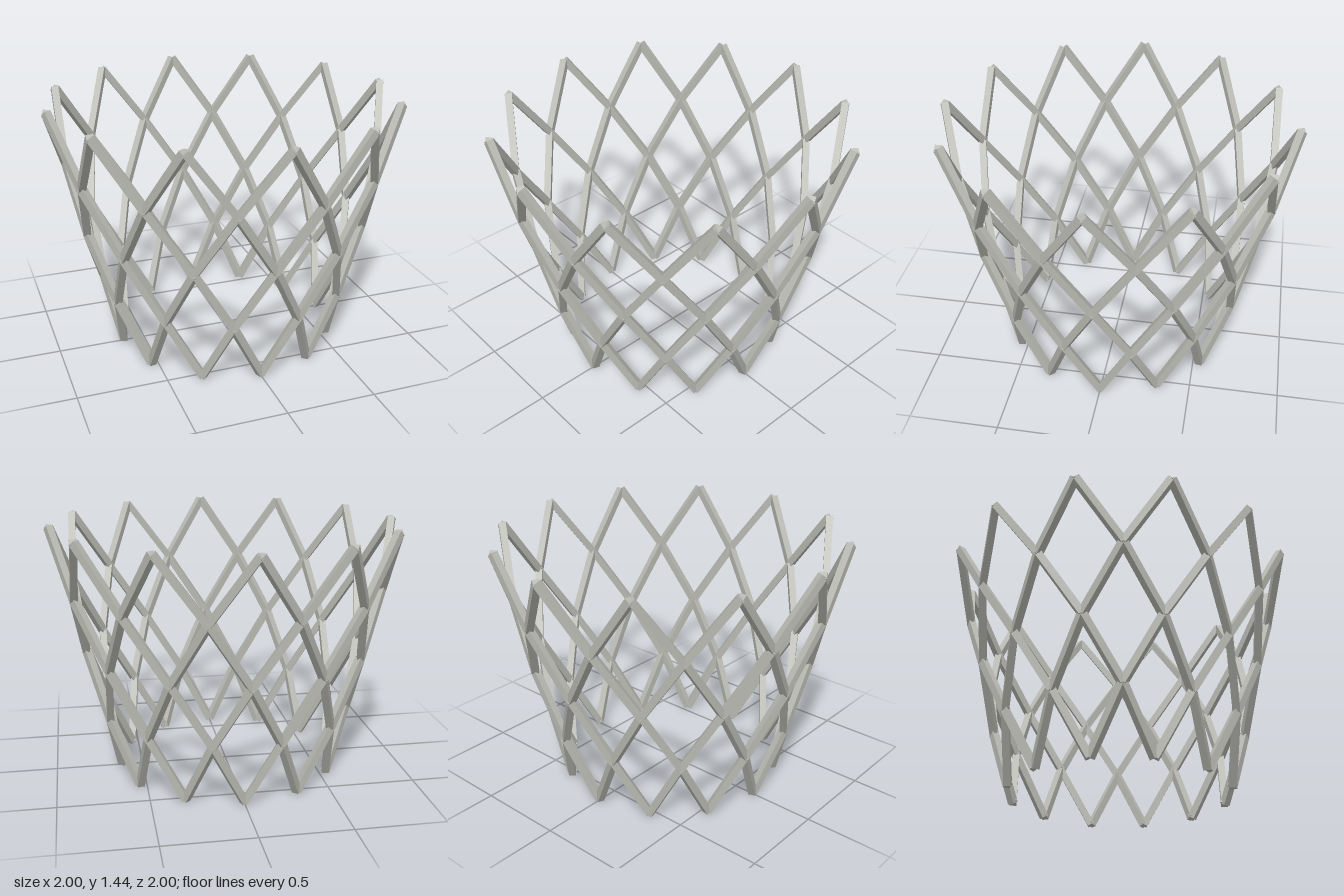
import * as THREE from 'three';

const COUNT = 12;        // tips around each ring
const ROWS = 4;          // strut rows from bottom to top
const THICK = 0.04;      // square bar section
const Y0 = 0.011, Y1 = 1.429;
const R0 = 0.62, R1 = 0.975;

// Lattice joint: odd rings are turned by half a step
function joint(row, step) {
  const t = row / ROWS;
  const a = (step / COUNT) * Math.PI * 2;
  const r = THREE.MathUtils.lerp(R0, R1, t);
  return new THREE.Vector3(Math.sin(a) * r, THREE.MathUtils.lerp(Y0, Y1, t), Math.cos(a) * r);
}

// Square bar between two joints, with its side faces upright
function strut(a, b, material) {
  const bar = new THREE.Mesh(new THREE.BoxGeometry(THICK, THICK, a.distanceTo(b)), material);
  bar.position.copy(a).add(b).multiplyScalar(0.5);
  bar.lookAt(b);
  bar.name = 'strut';
  return bar;
}

export function createModel() {
  const metal = new THREE.MeshStandardMaterial({ color: 0xb8b8b2 });
  metal.name = 'grey metal';

  const model = new THREE.Group();
  model.name = 'flaredLatticeBasket';

  for (let row = 0; row < ROWS; row++) {
    const ring = new THREE.Group();
    ring.name = `strutRow${row + 1}`;
    const shift = (row % 2) * 0.5;
    for (let i = 0; i < COUNT; i++) {
      const from = joint(row, i + shift);
      // Each joint sends one bar up to each side
      for (const side of [-0.5, 0.5]) {
        ring.add(strut(from, joint(row + 1, i + shift + side), metal));
      }
    }
    model.add(ring);
  }
  return model;
}
